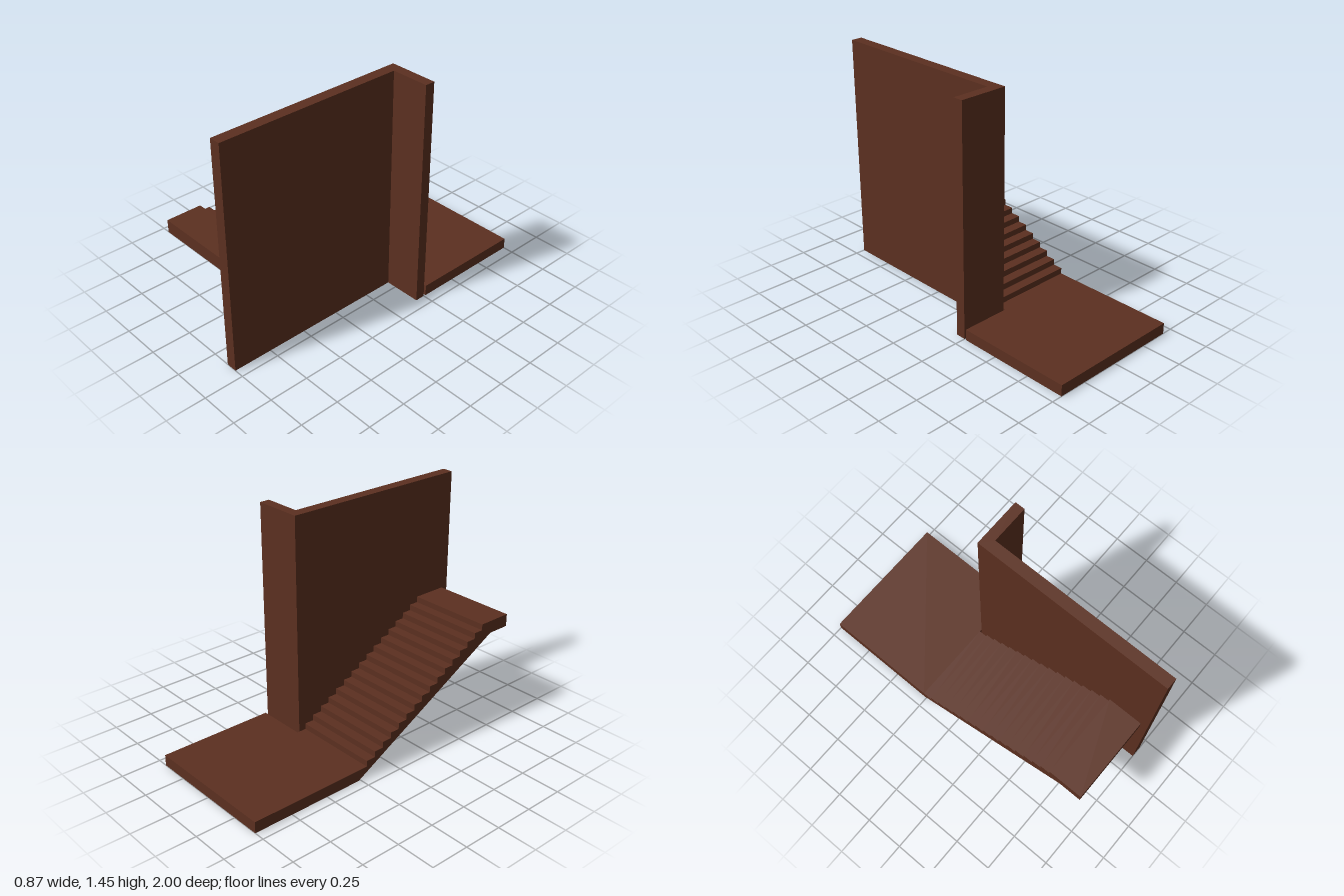
import * as THREE from 'three';

const material = new THREE.MeshStandardMaterial({ color: 0x5c3020, flatShading: true });

// box given by its lower and upper corners
function block(name, [x0, y0, z0], [x1, y1, z1]) {
  const mesh = new THREE.Mesh(new THREE.BoxGeometry(x1 - x0, y1 - y0, z1 - z0), material);
  mesh.name = name;
  mesh.position.set((x0 + x1) / 2, (y0 + y1) / 2, (z0 + z1) / 2);
  return mesh;
}

// extrude a (z, y) side profile along x
function sideExtrusion(name, points, x0, x1) {
  const shape = new THREE.Shape(points.map(([z, y]) => new THREE.Vector2(-z, y)));
  const geometry = new THREE.ExtrudeGeometry(shape, { depth: x1 - x0, bevelEnabled: false });
  geometry.rotateY(Math.PI / 2);
  geometry.translate(x0, 0, 0);
  const mesh = new THREE.Mesh(geometry, material);
  mesh.name = name;
  return mesh;
}

export function createModel() {
  const group = new THREE.Group();
  group.name = 'staircase';

  const left = -0.433, inner = 0.118, right = 0.432;
  const floorTop = 0.07, landingTop = 0.675, landingBottom = 0.595;
  const slabEnd = -0.264, firstRiser = -0.202, lastRiser = 0.731, landingEnd = 0.955;

  // lower floor slab
  group.add(block('lowerFloor', [left, 0, -1], [right, floorTop, slabEnd]));

  // stair flight with sloped underside, ending in the upper landing
  const risers = 16;
  const rise = (landingTop - floorTop) / risers;
  const going = (lastRiser - firstRiser) / (risers - 1);
  const profile = [[slabEnd, 0], [slabEnd, floorTop]];
  for (let i = 0; i < risers; i++) {
    const z = firstRiser + i * going;
    profile.push([z, floorTop + i * rise], [z, floorTop + (i + 1) * rise]);
  }
  profile.push([landingEnd, landingTop], [landingEnd, landingBottom], [0.81, landingBottom]);
  group.add(sideExtrusion('stairFlight', profile, left, inner));

  // L-shaped wall beside the stairs
  const plan = [[inner, -0.249], [0.43, -0.249], [0.43, -0.186], [0.188, -0.186], [0.188, 1], [inner, 1]];
  const wallShape = new THREE.Shape(plan.map(([x, z]) => new THREE.Vector2(x, -z)));
  const wallGeometry = new THREE.ExtrudeGeometry(wallShape, { depth: 1.445, bevelEnabled: false });
  wallGeometry.rotateX(-Math.PI / 2);
  const wall = new THREE.Mesh(wallGeometry, material);
  wall.name = 'cornerWall';
  group.add(wall);

  return group;
}
